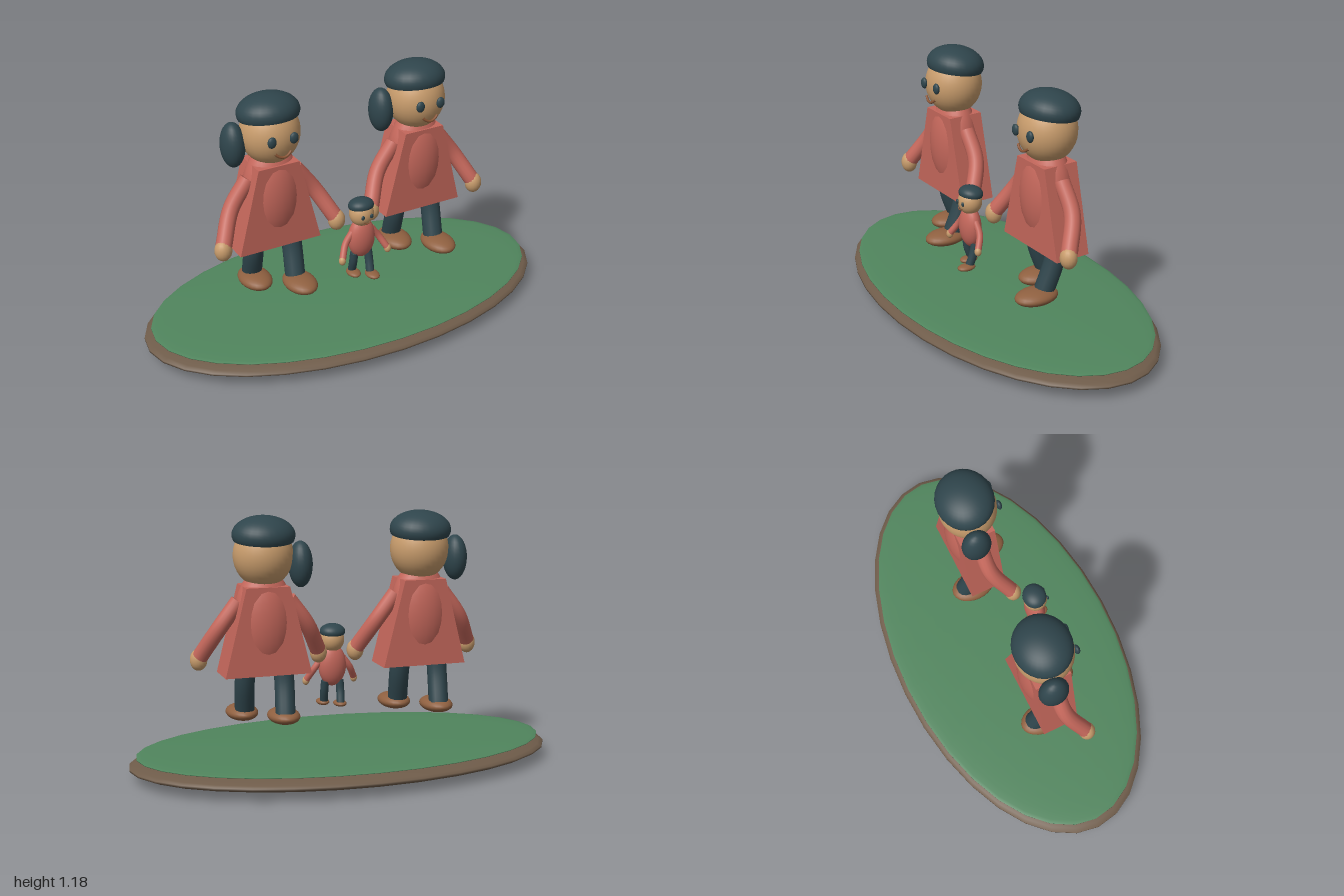
import * as THREE from 'three';

const material = (color) => new THREE.MeshStandardMaterial({ color });
const dark = material(0x2f454c), skin = material(0xc89c6c), red = material(0xc4675b);
const brown = material(0x8f6040), lip = material(0x8a5535);
const green = material(0x50855d), soil = material(0x6f5c4a);

function add(parent, name, geometry, mat, x = 0, y = 0, z = 0) {
  const mesh = new THREE.Mesh(geometry, mat);
  mesh.name = name;
  mesh.position.set(x, y, z);
  parent.add(mesh);
  return mesh;
}

function ellipsoid(parent, name, mat, [x, y, z], [rx, ry, rz], segments = 24) {
  const geometry = new THREE.SphereGeometry(1, segments, Math.round(segments * 0.67)).scale(rx, ry, rz);
  return add(parent, name, geometry, mat, x, y, z);
}

// Curved limb, closed with a flat disc at its upper end
function limb(parent, name, mat, points, radius) {
  const curve = new THREE.CatmullRomCurve3(points.map((p) => new THREE.Vector3(...p)));
  add(parent, name, new THREE.TubeGeometry(curve, 14, radius, 14), mat);
  const start = curve.getPoint(0);
  const cap = add(parent, name + 'Cap', new THREE.CircleGeometry(radius, 14), mat, ...start.toArray());
  cap.lookAt(start.clone().sub(curve.getTangent(0)));
}

function createHead(figure) {
  ellipsoid(figure, 'head', skin, [0, 1, 0], [0.136, 0.145, 0.131], 32);

  // Cap of hair, tipped back
  const hair = new THREE.SphereGeometry(1, 28, 14, 0, Math.PI * 2, 0, Math.PI * 0.6).scale(0.143, 0.085, 0.13);
  const mat = dark.clone();
  mat.side = THREE.DoubleSide;
  add(figure, 'hair', hair, mat, 0, 1.092, -0.011).rotation.x = -0.13;

  for (const s of [-1, 1]) {
    ellipsoid(figure, s > 0 ? 'leftEye' : 'rightEye', dark, [s * 0.053, 1.007, 0.128], [0.021, 0.026, 0.013], 16);
  }

  // Smile
  const smile = new THREE.QuadraticBezierCurve3(
    new THREE.Vector3(-0.038, 0.948, 0.125),
    new THREE.Vector3(0, 0.908, 0.139),
    new THREE.Vector3(0.038, 0.948, 0.125));
  add(figure, 'mouth', new THREE.TubeGeometry(smile, 12, 0.006, 8), lip);
}

// Flared dress: a trapezoid with constant depth
function createDress(figure) {
  const shape = new THREE.Shape([[-0.2, 0.465], [0.2, 0.465], [0.1, 0.865], [-0.1, 0.865]]
    .map((p) => new THREE.Vector2(...p)));
  const geometry = new THREE.ExtrudeGeometry(shape, { depth: 0.17, bevelEnabled: false });
  add(figure, 'dress', geometry, red, 0, 0, -0.085);
}

function createFigure(name, adult) {
  const figure = new THREE.Group();
  figure.name = name;
  createHead(figure);
  ellipsoid(figure, 'torso', red, [0, 0.705, 0], [adult ? 0.14 : 0.16, 0.237, 0.107]);
  if (adult) {
    createDress(figure);
    ellipsoid(figure, 'sideHair', dark, [-0.163, 0.957, -0.035], [0.054, 0.105, 0.068]);
  }

  for (const s of [-1, 1]) {
    const side = s > 0 ? 'left' : 'right';
    limb(figure, side + 'Arm', red,
      [[s * 0.115, 0.797, 0.003], [s * 0.205, 0.675, 0.012], [s * 0.278, 0.54, 0.08]], 0.037);
    ellipsoid(figure, side + 'Hand', skin, [s * 0.283, 0.525, 0.086], [0.04, 0.05, 0.038], 18);

    // Walking pose: the left leg steps forward
    const ankle = s > 0 ? 0.065 : -0.068;
    limb(figure, side + 'Leg', dark,
      [[s * 0.085, 0.53, -0.004], [s * 0.088, 0.41, ankle * 0.3], [s * 0.078, 0.275, ankle]], 0.046);
    ellipsoid(figure, side + 'Shoe', brown, [s * 0.081, 0.265, ankle + 0.04], [0.073, 0.036, 0.106]);
  }
  return figure;
}

export function createModel() {
  const model = new THREE.Group();
  model.name = 'familyOnIsland';

  // Oval ground: a layer of soil under a layer of grass
  ellipsoid(model, 'soil', soil, [0, 0.06, 0], [1, 0.06, 0.545], 32);
  ellipsoid(model, 'grass', green, [0, 0.105, 0], [0.967, 0.019, 0.525], 32);

  for (const s of [-1, 1]) {
    const adult = createFigure(s > 0 ? 'leftAdult' : 'rightAdult', true);
    adult.position.x = s * 0.373;
    model.add(adult);
  }

  const child = createFigure('child', false);
  child.scale.setScalar(0.42);
  child.position.set(0, 0.148, 0.155);
  model.add(child);
  return model;
}
